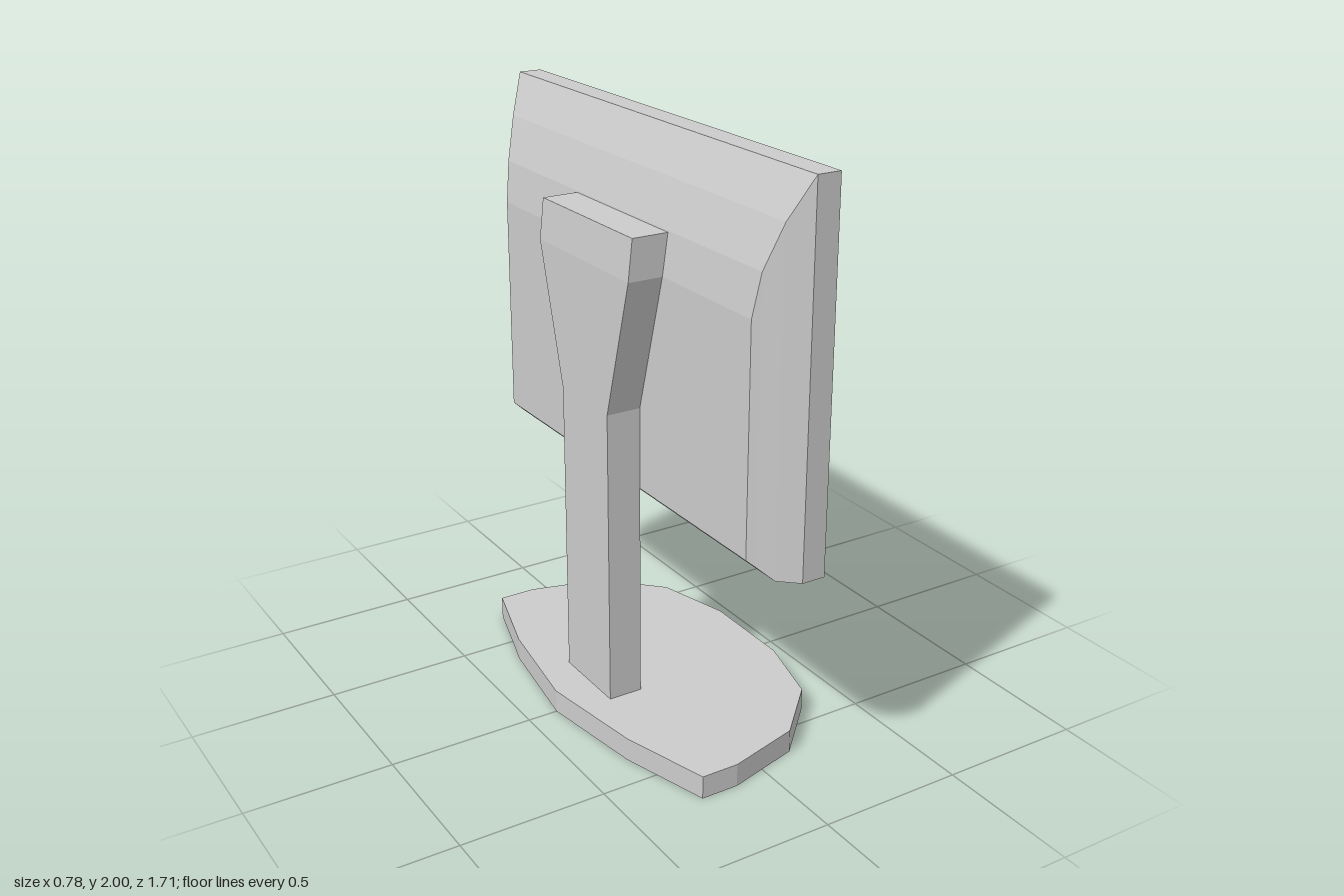
import * as THREE from 'three';

const material = new THREE.MeshStandardMaterial({ color: 0xcccccc, flatShading: true });

// Skin over a row of four-cornered rings, with optional end caps
function loft(rings, capStart, capEnd) {
  const pos = [];
  const quad = (a, b, c, d) => pos.push(...a, ...b, ...c, ...a, ...c, ...d);
  for (let i = 0; i < rings.length - 1; i++) {
    const r = rings[i], s = rings[i + 1];
    for (let j = 0; j < 4; j++) {
      const k = (j + 1) % 4;
      quad(r[j], r[k], s[k], s[j]);
    }
  }
  if (capStart) quad(...[...rings[0]].reverse());
  if (capEnd) quad(...rings[rings.length - 1]);
  const g = new THREE.BufferGeometry();
  g.setAttribute('position', new THREE.Float32BufferAttribute(pos, 3));
  g.computeVertexNormals();
  return g;
}

// Upright rectangle at depth x
const uprightRing = ([x, y0, y1, z]) => [[x, y0, -z], [x, y1, -z], [x, y1, z], [x, y0, z]];
// Level rectangle at height y
const levelRing = ([y, x0, x1, z]) => [[y, x0, -z], [y, x0, z], [y, x1, z], [y, x1, -z]]
  .map(([h, x, w]) => [x, h, w]);

export function createModel() {
  const model = new THREE.Group();
  model.name = 'monitor';
  const add = (name, geometry) => {
    const mesh = new THREE.Mesh(geometry, material);
    mesh.name = name;
    model.add(mesh);
    return mesh;
  };

  // Housing: tapered back shell, outer frame, bevelled opening, recess walls
  add('housing', loft([
    [-0.145, 0.83, 1.58, 0.74],
    [-0.125, 0.812, 1.72, 0.758],
    [-0.08, 0.77, 1.865, 0.8],
    [-0.02, 0.77, 2.0, 0.855],
    [0.06, 0.77, 2.0, 0.855],
    [0.06, 0.82, 1.953, 0.775],
    [0.03, 0.848, 1.922, 0.745],
    [-0.04, 0.848, 1.922, 0.745],
  ].map(uprightRing), true, false));

  // Screen at the bottom of the recess, facing +x
  const screen = add('screen', new THREE.PlaneGeometry(1.49, 1.074));
  screen.rotation.y = Math.PI / 2;
  screen.position.set(-0.04, 1.385, 0);

  // Neck: straight column flaring into a wide mounting head
  add('neck', loft([
    [0.04, -0.265, -0.145, 0.142],
    [1.11, -0.265, -0.145, 0.142],
    [1.58, -0.265, -0.145, 0.275],
    [1.715, -0.25, -0.125, 0.275],
  ].map(levelRing), true, true));

  // Base: faceted plate, one half outline mirrored across z
  const half = [[0.39, 0.17], [0.32, 0.432], [0.135, 0.616], [-0.12, 0.685], [-0.25, 0.685], [-0.34, 0.378]];
  const outline = [...half, [-0.395, 0], ...half.map(([x, z]) => [x, -z]).reverse()];
  const base = new THREE.ExtrudeGeometry(
    new THREE.Shape(outline.map(([x, z]) => new THREE.Vector2(x, z))),
    { depth: 0.08, bevelEnabled: false });
  base.rotateX(-Math.PI / 2);
  add('base', base);

  return model;
}
